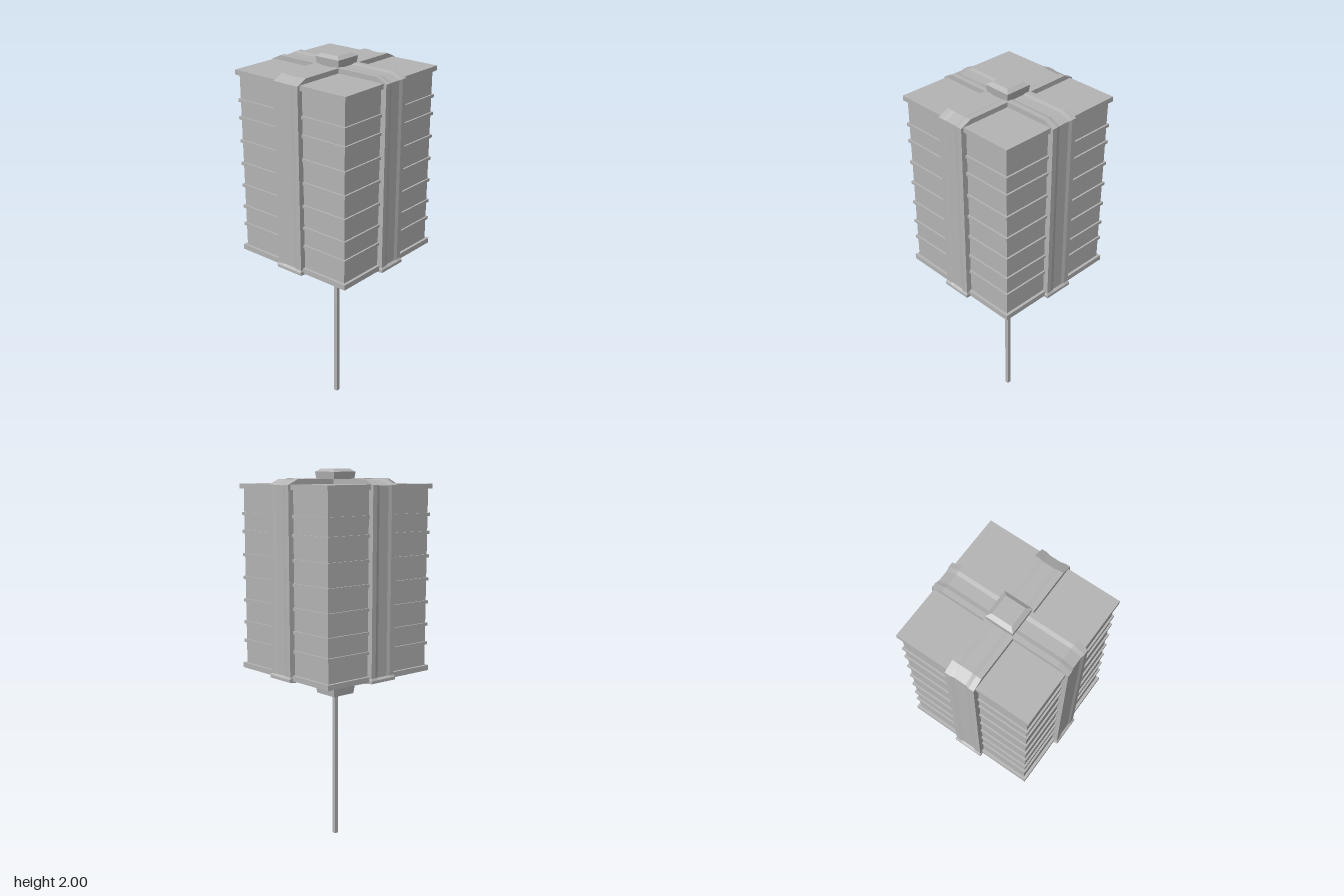
import * as THREE from 'three';

const grey = new THREE.MeshStandardMaterial({ color: 0xb4b4b4, flatShading: true });
grey.name = 'stone grey';

function add(group, name, geometry, y) {
  const mesh = new THREE.Mesh(geometry, grey);
  mesh.name = name;
  mesh.position.y = y;
  group.add(mesh);
  return mesh;
}

// square block centred on the axis, between two heights
function block(group, name, half, y0, y1) {
  return add(group, name, new THREE.BoxGeometry(half * 2, y1 - y0, half * 2), (y0 + y1) / 2);
}

// square block whose bottom and top differ in size
function taper(group, name, halfBottom, halfTop, y0, y1) {
  const g = new THREE.CylinderGeometry(halfTop * Math.SQRT2, halfBottom * Math.SQRT2, y1 - y0, 4);
  g.rotateY(Math.PI / 4);
  return add(group, name, g, (y0 + y1) / 2);
}

// one strap running from the roof, down a wall and under the floor, with a shallow groove
function strapGeometry() {
  // outer r, y, inner r, y, half width, groove dr, dy
  const rows = [
    [0.05, 1.95, 0.05, 1.9, 0.077, 0, -0.005],
    [0.31, 1.95, 0.3, 1.9, 0.077, -0.002, -0.005],
    [0.368, 1.923, 0.33, 1.9, 0.077, -0.005, -0.002],
    [0.368, 0.965, 0.33, 0.965, 0.077, -0.005, 0],
    [0.375, 0.955, 0.33, 0.962, 0.081, 0, 0],
    [0.375, 0.94, 0.33, 0.96, 0.081, 0, 0],
    [0.075, 0.9, 0.075, 0.96, 0.081, 0, 0],
  ];
  const pos = [], index = [], cols = 8;
  rows.forEach(([r, y, ri, yi, w, dr, dy], i) => {
    pos.push(-w, yi, ri);
    [-w, -0.05, -0.03, 0.03, 0.05, w].forEach((u) => {
      const k = Math.abs(u) < 0.04 ? 1 : 0;
      pos.push(u, y + dy * k, r + dr * k);
    });
    pos.push(w, yi, ri);
    if (i === 0) return;
    for (let j = 0; j < cols - 1; j++) {
      const a = (i - 1) * cols + j, b = i * cols + j;
      index.push(a, b, b + 1, a, b + 1, a + 1);
    }
  });
  const g = new THREE.BufferGeometry();
  g.setAttribute('position', new THREE.Float32BufferAttribute(pos, 3));
  g.setIndex(index);
  const flat = g.toNonIndexed();
  flat.computeVertexNormals();
  return flat;
}

export function createModel() {
  const model = new THREE.Group();
  model.name = 'ribbed block on a pole';

  // main body with its end slabs
  block(model, 'body', 0.338, 0.95, 1.915);
  block(model, 'roofSlab', 0.353, 1.9, 1.925);
  block(model, 'floorSlab', 0.353, 0.945, 0.973);

  // horizontal ribs
  [1.77, 1.678, 1.556, 1.435, 1.314, 1.195, 1.094].forEach((y) =>
    block(model, 'rib', 0.347, y - 0.008, y + 0.008));

  // four straps
  const strap = strapGeometry();
  for (let i = 0; i < 4; i++) {
    add(model, 'strap', strap, 0).rotation.y = (i * Math.PI) / 2;
  }

  // cap on the roof
  taper(model, 'capBase', 0.066, 0.074, 1.92, 1.985);
  taper(model, 'capTop', 0.074, 0.053, 1.985, 2);

  // socket and pole underneath
  block(model, 'socketTop', 0.079, 0.9, 0.95);
  taper(model, 'socket', 0.07, 0.079, 0.81, 0.9);
  block(model, 'pole', 0.011, 0, 0.82);

  return model;
}
